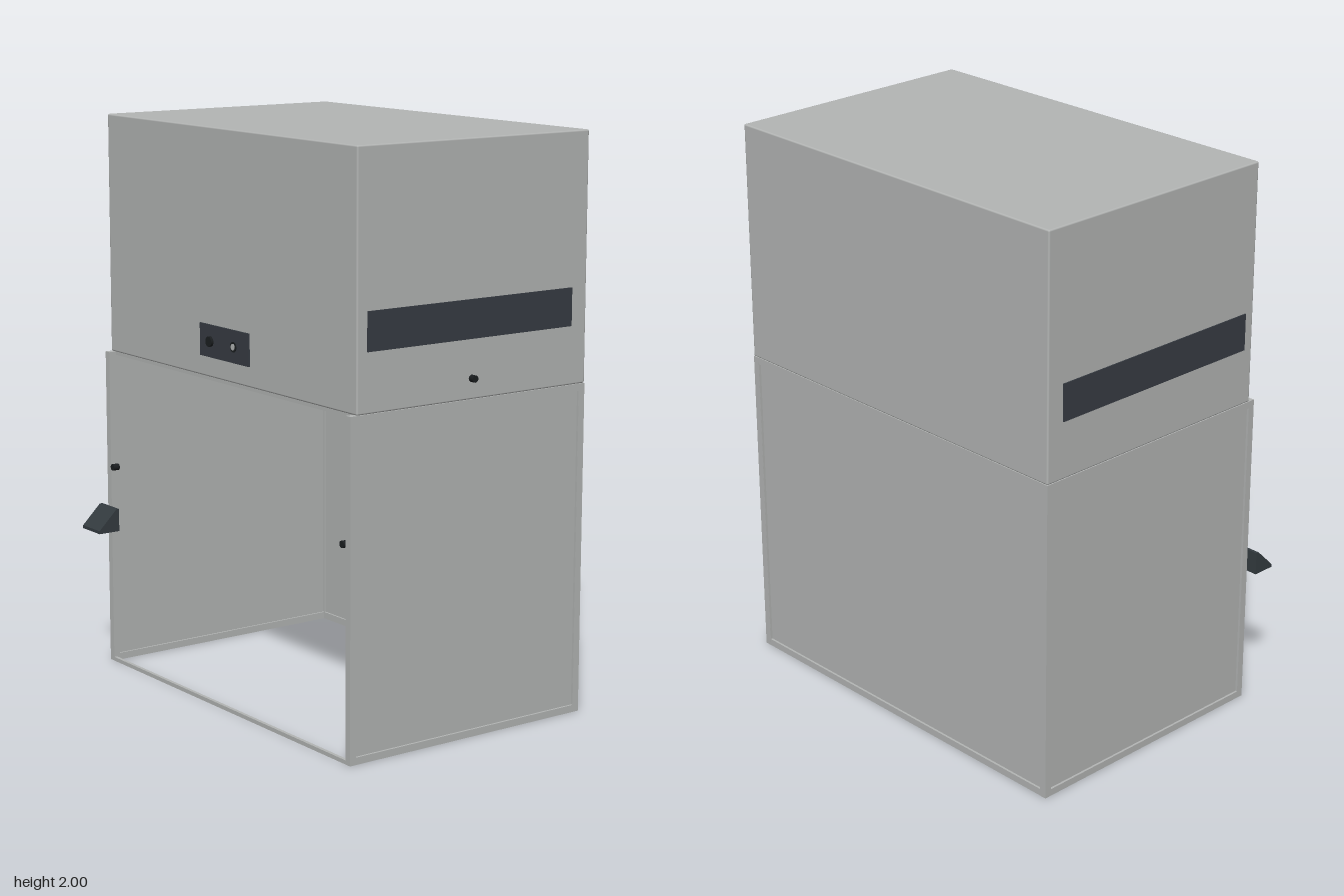
import * as THREE from 'three';
import { RoundedBoxGeometry } from 'three/addons/geometries/RoundedBoxGeometry.js';

const mat = (name, color) => {
  const m = new THREE.MeshStandardMaterial({ color });
  m.name = name;
  return m;
};

// Overall limits of the cabinet
const X0 = -0.452, X1 = 0.528, Z0 = -0.727, Z1 = 0.745;
const SPLIT = 1.15, TOP = 2, HOOD_X0 = -0.428;
const POST = 0.025, RECESS = 0.008, SHEET = 0.01;

export function createModel() {
  const model = new THREE.Group();
  model.name = 'enclosure';
  const grey = mat('light grey', 0xb3b5b4);
  const charcoal = mat('charcoal', 0x373c43);
  const slate = mat('dark slate', 0x343b40);
  const black = mat('black', 0x1b1e20);

  const add = (name, geo, material, parent = model) => {
    const m = new THREE.Mesh(geo, material);
    m.name = name;
    parent.add(m);
    return m;
  };
  // Box given by its low and high corners
  const box = (name, a, b, material, parent) => {
    const m = add(name, new THREE.BoxGeometry(b[0] - a[0], b[1] - a[1], b[2] - a[2]), material, parent);
    m.position.set((a[0] + b[0]) / 2, (a[1] + b[1]) / 2, (a[2] + b[2]) / 2);
    return m;
  };
  // Short round stud along x or z
  const stud = (name, r, length, axis, pos, material) => {
    const g = new THREE.CylinderGeometry(r, r, length, 20);
    if (axis === 'x') g.rotateZ(Math.PI / 2);
    else g.rotateX(Math.PI / 2);
    add(name, g, material).position.set(...pos);
  };

  // Framed wall: extruded border with a recessed sheet, its outside facing +z
  const framedWall = (name, width) => {
    const wall = new THREE.Group();
    wall.name = name;
    const w = width / 2, iw = w - POST;
    const rim = new THREE.Shape([[-w, 0], [w, 0], [w, SPLIT], [-w, SPLIT]].map(p => new THREE.Vector2(...p)));
    rim.holes.push(new THREE.Path([[-iw, POST], [-iw, SPLIT - POST], [iw, SPLIT - POST], [iw, POST]]
      .map(p => new THREE.Vector2(...p))));
    const frame = new THREE.ExtrudeGeometry(rim, { depth: POST, bevelEnabled: false });
    frame.translate(0, 0, -POST);
    add(name + 'Frame', frame, grey, wall);
    box(name + 'Sheet', [-iw, POST, -RECESS - SHEET], [iw, SPLIT - POST, -RECESS], grey, wall);
    model.add(wall);
    return wall;
  };

  // Lower stand: three walls, open on the access side and underneath
  const cx = (X0 + X1) / 2, cz = (Z0 + Z1) / 2;
  framedWall('frontWall', X1 - X0).position.set(cx, 0, Z1);
  const back = framedWall('backWall', X1 - X0);
  back.position.set(cx, 0, Z0);
  back.rotation.y = Math.PI;
  const side = framedWall('sideWall', Z1 - Z0 - 0.002);
  side.position.set(X1 - 0.0005, 0, cz);
  side.rotation.y = Math.PI / 2;
  box('thresholdRail', [X0, 0, Z0 + POST], [X0 + 0.012, 0.014, Z1 - POST], grey);

  // Upper hood with its floor plate
  const hood = add('hood', new RoundedBoxGeometry(X1 - HOOD_X0, TOP - SPLIT, Z1 - Z0, 2, 0.006), grey);
  hood.position.set((X1 + HOOD_X0) / 2, (TOP + SPLIT) / 2, cz);
  box('hoodFloor', [HOOD_X0 + 0.004, SPLIT - 0.012, Z0 + POST], [X1 - POST, SPLIT + 0.004, Z1 - POST], grey);

  // Dark window bands on the front and back
  box('frontWindow', [-0.388, 1.35, Z1 - 0.002], [0.462, 1.48, Z1 + 0.004], charcoal);
  box('backWindow', [-0.388, 1.35, Z0 - 0.004], [0.462, 1.48, Z0 + 0.002], charcoal);
  stud('frontButton', 0.012, 0.024, 'z', [0.037, 1.22, Z1 + 0.008], black);

  // Control panel above the opening
  box('controlPanel', [HOOD_X0 - 0.006, 1.22, -0.138], [HOOD_X0 + 0.002, 1.332, 0.153], charcoal);
  stud('controlKnob', 0.018, 0.016, 'x', [HOOD_X0 - 0.007, 1.275, -0.073], black);
  stud('keySwitchRing', 0.018, 0.004, 'x', [HOOD_X0 - 0.006, 1.275, 0.065], black);
  stud('keySwitch', 0.011, 0.004, 'x', [HOOD_X0 - 0.008, 1.275, 0.065], grey);

  // Sensors on the inner faces of the open posts
  for (const z of [0.703, -0.687]) stud('postSensor', 0.012, 0.024, 'x', [-0.444, 0.73, z], black);

  // Sloped emergency switch housing at the back corner
  const wedge = new THREE.Shape([[-0.535, 0.5], [X0, 0.5], [X0, 0.582], [-0.463, 0.582], [-0.535, 0.511]]
    .map(p => new THREE.Vector2(...p)));
  const housing = new THREE.ExtrudeGeometry(wedge, { depth: 0.115, bevelEnabled: false });
  housing.translate(0, 0, -0.768);
  add('switchHousing', housing, slate);

  return model;
}
